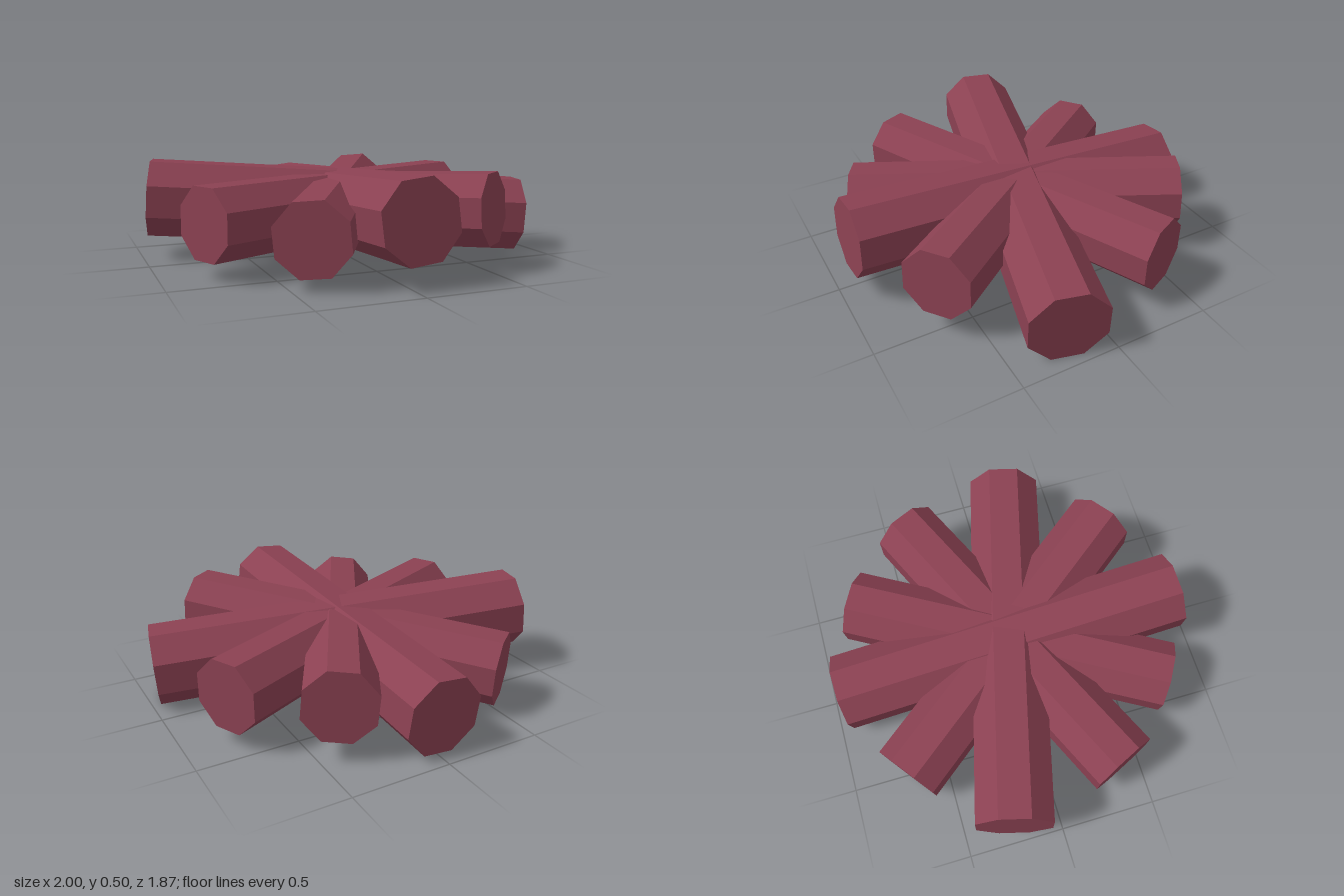
import * as THREE from 'three';

export function createModel() {
  const model = new THREE.Group();
  model.name = 'crossedBars';
  const maroon = new THREE.MeshStandardMaterial({ color: 0x8b4152, flatShading: true });
  maroon.name = 'maroon';

  // An octagonal bar between two end centres; roll turns it about its own axis (degrees)
  function bar(name, from, to, radius, roll) {
    const a = new THREE.Vector3(...from);
    const b = new THREE.Vector3(...to);
    const geometry = new THREE.CylinderGeometry(radius, radius, a.distanceTo(b), 8);
    geometry.rotateX(Math.PI / 2);
    geometry.rotateZ(THREE.MathUtils.degToRad(22.5 + roll));
    const mesh = new THREE.Mesh(geometry, maroon);
    mesh.name = name;
    mesh.position.copy(a).add(b).multiplyScalar(0.5);
    mesh.lookAt(b);
    model.add(mesh);
  }

  // Two thick bars crossing, tilted in opposite directions
  bar('thickBarAcross', [-0.948, 0.32, -0.25], [0.948, 0.196, 0.24], 0.206, 0);
  bar('thickBarFrontToBack', [-0.015, 0.205, -0.93], [0.015, 0.315, 0.92], 0.203, 6);

  // Three thinner bars filling the gaps
  bar('thinBarBackLeft', [0.42, 0.285, -0.755], [-0.42, 0.235, 0.745], 0.185, 5);
  bar('thinBarFrontLeft', [-0.535, 0.215, -0.695], [0.527, 0.307, 0.685], 0.187, 0);
  bar('thinBarAcross', [-0.803, 0.265, 0.366], [0.8, 0.26, -0.378], 0.187, 0);

  return model;
}
